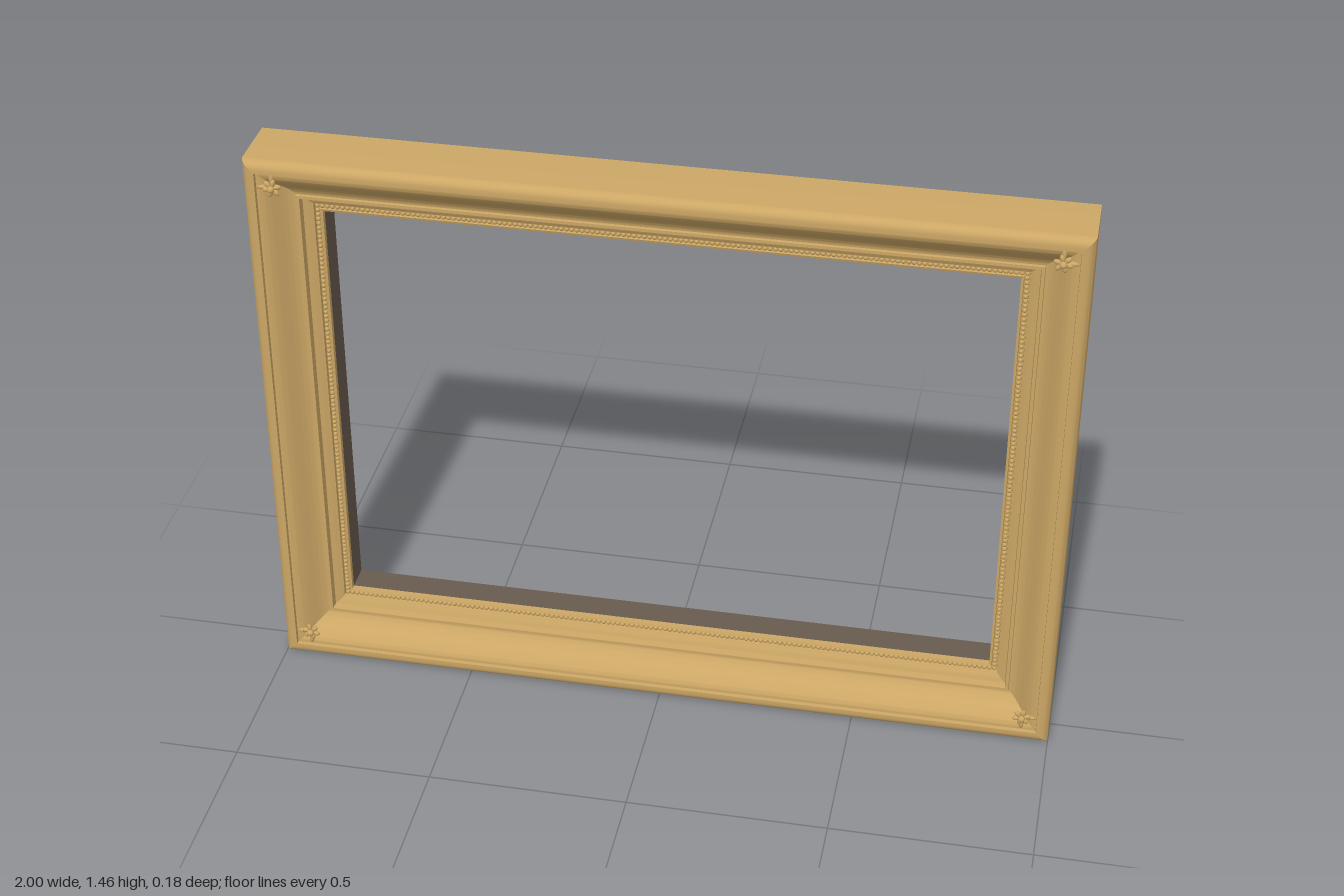
import * as THREE from 'three';
import { mergeGeometries, toCreasedNormals } from 'three/addons/utils/BufferGeometryUtils.js';

const H = 1.46;      // overall height; overall width is 2
const BACK = -0.09;

// Corner c of the rectangle inset by d, counter-clockwise from bottom left
const corner = (c, d, z) => {
  const sx = c === 1 || c === 2 ? 1 : -1;
  return [sx * (1 - d), c >= 2 ? H - d : d, z];
};

// Sweep a [inset, z] profile round the rectangle as four mitred rails
function mitredFrame(profile) {
  const rails = [];
  for (let c = 0; c < 4; c++) {
    const n = (c + 1) % 4, pos = [];
    for (let i = 0; i < profile.length - 1; i++) {
      const a = corner(c, ...profile[i]), b = corner(n, ...profile[i]);
      const e = corner(n, ...profile[i + 1]), f = corner(c, ...profile[i + 1]);
      pos.push(...a, ...b, ...e, ...a, ...e, ...f);
    }
    const g = new THREE.BufferGeometry();
    g.setAttribute('position', new THREE.Float32BufferAttribute(pos, 3));
    rails.push(toCreasedNormals(g, 0.6));
  }
  return mergeGeometries(rails);
}

export function createModel() {
  const root = new THREE.Group();
  root.name = 'pictureFrame';
  const gold = new THREE.MeshStandardMaterial({ color: 0xcba665 });
  gold.name = 'gold';
  const brown = new THREE.MeshStandardMaterial({ color: 0x685a4e });
  brown.name = 'darkWood';
  const add = (parent, name, geometry, material) => {
    const m = new THREE.Mesh(geometry, material);
    m.name = name;
    parent.add(m);
    return m;
  };

  // Gilded moulding: rounded outer edge, fillet, ogee, step and bead channel
  const profile = [[0, BACK], [0, 0.06]];
  for (let i = 1; i <= 6; i++) {
    const t = i / 6 * Math.PI / 2;
    profile.push([0.022 * (1 - Math.cos(t)), 0.06 + 0.023 * Math.sin(t)]);
  }
  profile.push([0.031, 0.083], [0.032, 0.073], [0.037, 0.073]);
  for (let i = 1; i <= 14; i++) {
    const t = i / 14;
    profile.push([0.037 + 0.073 * t, 0.073 - 0.053 * t * t * (3 - 2 * t)]);
  }
  profile.push([0.111, 0.027], [0.119, 0.027], [0.121, 0.008], [0.13, 0.006], [0.139, 0.0],
    [0.144, -0.002], [0.145, -0.012], [0.158, -0.012], [0.159, -0.004], [0.165, -0.006], [0.165, -0.02]);
  add(root, 'moulding', mitredFrame(profile), gold);

  // Dark wooden back and inner reveal
  add(root, 'woodenBack', mitredFrame([[0.165, -0.02], [0.165, BACK], [0, BACK]]), brown);

  // Row of small beads in the channel
  const beads = [], inset = 0.1515;
  for (let c = 0; c < 4; c++) {
    const a = new THREE.Vector3(...corner(c, inset, -0.009));
    const b = new THREE.Vector3(...corner((c + 1) % 4, inset, -0.009));
    const count = Math.round(a.distanceTo(b) / 0.0125);
    for (let i = 0; i < count; i++) {
      const p = a.clone().lerp(b, i / count);
      beads.push(new THREE.SphereGeometry(0.006, 8, 6).translate(p.x, p.y, p.z));
    }
  }
  add(root, 'beading', mergeGeometries(beads), gold);

  // Corner ornaments: a boss with a ring of petals and two leaves along the rails
  for (let c = 0; c < 4; c++) {
    const [x, y] = corner(c, 0.07, 0);
    const ornament = new THREE.Group();
    ornament.name = 'cornerOrnament';
    ornament.position.set(x, y, 0.066);
    ornament.rotation.z = Math.PI / 4 + c * Math.PI / 2;
    add(ornament, 'boss', new THREE.SphereGeometry(0.009, 12, 8), gold).position.z = 0.015;
    for (let i = 0; i < 6; i++) {
      const a = i * Math.PI / 3;
      const petal = add(ornament, 'petal', new THREE.SphereGeometry(1, 10, 8), gold);
      petal.scale.set(0.010, 0.006, 0.006);
      petal.position.set(0.014 * Math.cos(a), 0.014 * Math.sin(a), 0.008);
      petal.rotation.z = a;
    }
    for (const s of [-1, 1]) {
      const leaf = add(ornament, 'leaf', new THREE.SphereGeometry(1, 10, 8), gold);
      leaf.scale.set(0.016, 0.006, 0.007);
      leaf.position.set(-0.016, s * 0.016, 0.004);
      leaf.rotation.z = -s * Math.PI / 4;
    }
    root.add(ornament);
  }
  return root;
}
